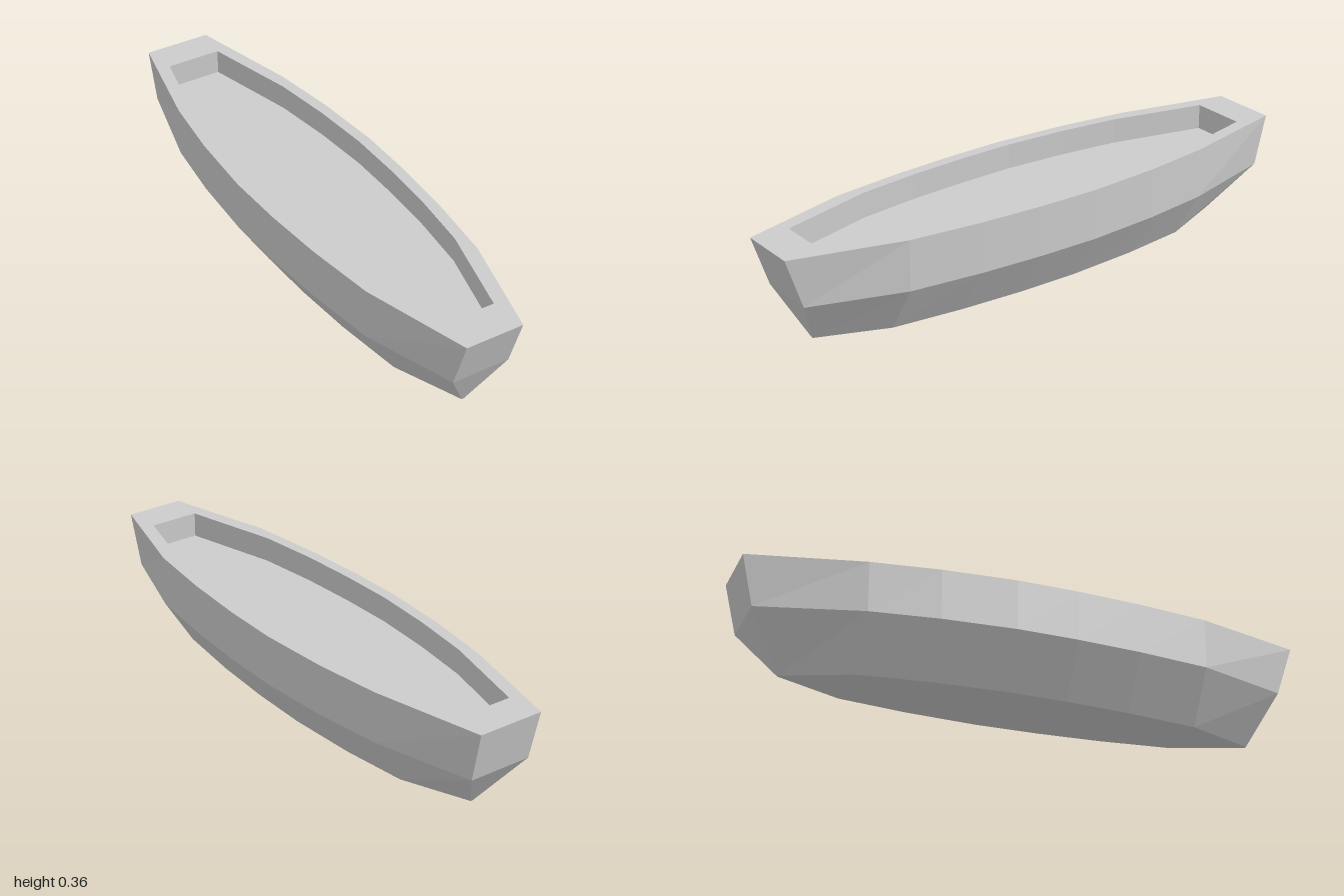
import * as THREE from 'three';

const material = new THREE.MeshStandardMaterial({ color: 0xcccccc, flatShading: true });

// Closed outline at height y, mirrored from [half width, z] stations running front to back.
function ring(y, stations) {
  const left = stations.map(([x, z]) => new THREE.Vector3(x, y, z));
  const right = stations.map(([x, z]) => new THREE.Vector3(-x, y, z)).reverse();
  return [...left, ...right];
}

function meshFrom(name, triangles) {
  const geometry = new THREE.BufferGeometry().setFromPoints(triangles);
  geometry.computeVertexNormals();
  const mesh = new THREE.Mesh(geometry, material);
  mesh.name = name;
  return mesh;
}

// Skin between successive rings.
function loft(name, rings) {
  const tris = [];
  for (let k = 0; k < rings.length - 1; k++) {
    const a = rings[k], b = rings[k + 1], n = a.length;
    for (let i = 0; i < n; i++) {
      const j = (i + 1) % n;
      tris.push(a[i], a[j], b[j], a[i], b[j], b[i]);
    }
  }
  return meshFrom(name, tris);
}

// Flat plate filling a ring, facing up or down.
function plate(name, r, up) {
  const tris = [], n = r.length;
  for (let i = 0; i < n / 2 - 1; i++) {
    const a = r[i], b = r[i + 1], c = r[n - 2 - i], d = r[n - 1 - i];
    tris.push(...(up ? [a, b, c, a, c, d] : [a, c, b, a, d, c]));
  }
  return meshFrom(name, tris);
}

export function createModel() {
  const group = new THREE.Group();
  group.name = 'boatHull';

  // Side stations shared by the chine and the rim
  const sides = [[0.212, 0.61], [0.243, 0.35], [0.258, 0.12], [0.262, -0.1], [0.245, -0.36], [0.213, -0.6]];
  const keel = ring(0, [[0.004, 0.855], [0.1, 0.61], [0.13, 0.35], [0.144, 0.12],
    [0.147, -0.1], [0.132, -0.36], [0.102, -0.6], [0.004, -0.835]]);
  const chine = ring(0.178, [[0.105, 0.94], ...sides, [0.115, -0.96]]);
  const rim = ring(0.358, [[0.105, 1], ...sides, [0.12, -1]]);

  // Inset well
  const well = [[0.09, 0.868], [0.18, 0.53], [0.206, 0.31], [0.218, 0.1],
    [0.221, -0.1], [0.207, -0.32], [0.18, -0.54], [0.1, -0.876]];
  const wellTop = ring(0.358, well);
  const wellFloor = ring(0.268, well);

  group.add(
    plate('bottom', keel, false),
    loft('hullSides', [keel, chine, rim]),
    loft('gunwale', [rim, wellTop]),
    loft('wellWalls', [wellTop, wellFloor]),
    plate('deck', wellFloor, true),
  );
  return group;
}
